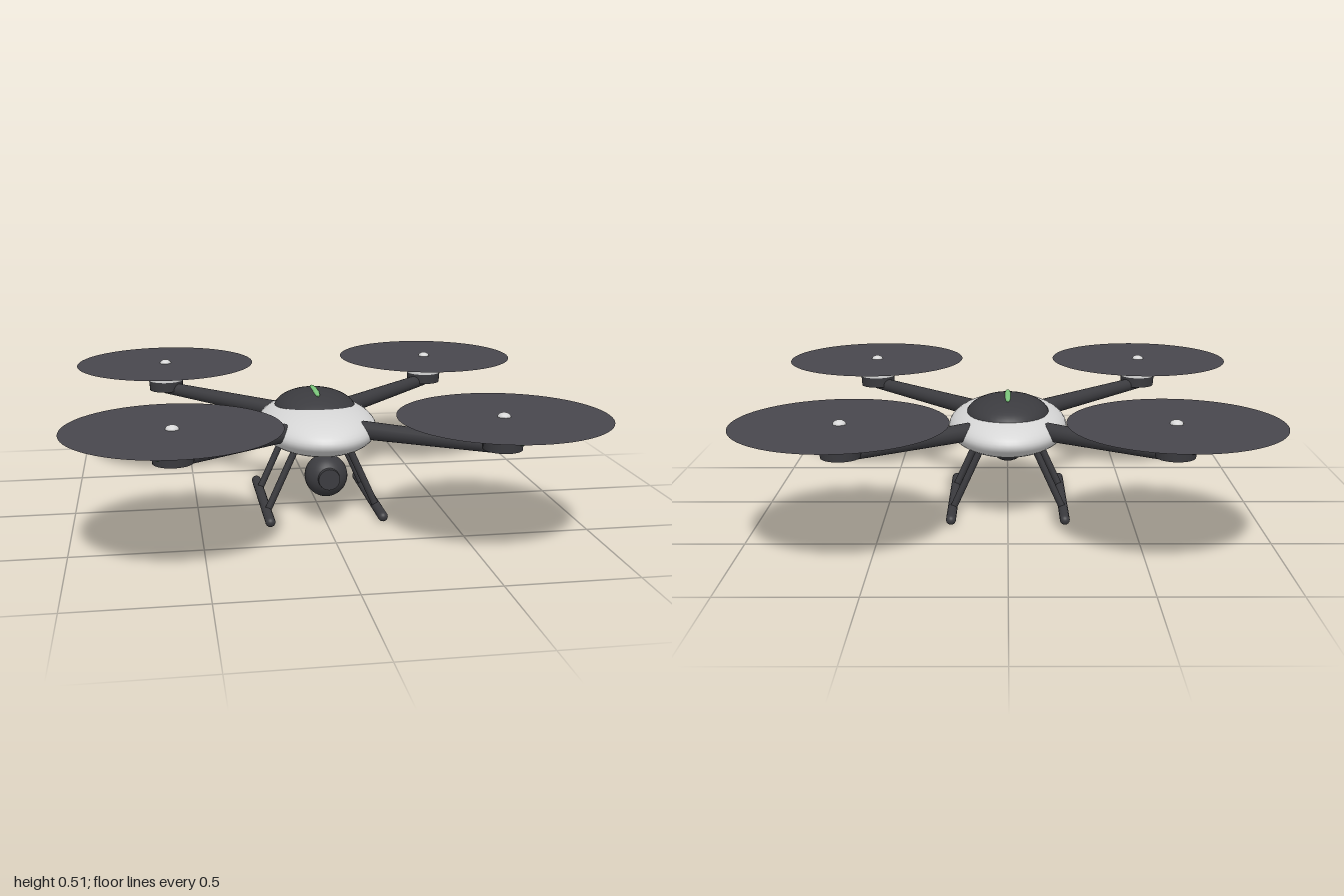
import * as THREE from 'three';

const material = (name, color, side = THREE.FrontSide) => {
  const m = new THREE.MeshStandardMaterial({ color, side });
  m.name = name;
  return m;
};

export function createModel() {
  const shell = material('light shell', 0xd6d6d6);
  const dark = material('dark plastic', 0x3b3b3f);
  const blur = material('rotor grey', 0x48474d, THREE.DoubleSide);
  const green = material('green light', 0x7cc87c);

  const model = new THREE.Group();
  model.name = 'quadcopter';

  const add = (name, geometry, mat, x, y, z, parent = model) => {
    const mesh = new THREE.Mesh(geometry, mat);
    mesh.name = name;
    mesh.position.set(x, y, z);
    parent.add(mesh);
    return mesh;
  };
  const ellipsoid = (rx, ry, rz, w = 32, h = 20) =>
    new THREE.SphereGeometry(1, w, h).scale(rx, ry, rz);

  // Tapered round bar between two points
  const bar = (name, a, b, ra, rb) => {
    const from = new THREE.Vector3(...a), to = new THREE.Vector3(...b);
    const dir = to.clone().sub(from);
    const mid = from.clone().add(to).multiplyScalar(0.5);
    const mesh = add(name, new THREE.CylinderGeometry(rb, ra, dir.length(), 20), dark, mid.x, mid.y, mid.z);
    mesh.quaternion.setFromUnitVectors(new THREE.Vector3(0, 1, 0), dir.normalize());
  };

  // Fuselage
  add('body', ellipsoid(0.243, 0.1, 0.375, 48, 28), shell, 0, 0.345, 0);
  add('canopy', ellipsoid(0.17, 0.08, 0.22, 40, 24), dark, 0, 0.4, -0.05);
  add('canopyStripe', ellipsoid(0.014, 0.011, 0.108, 16, 16), green, 0, 0.474, -0.045);

  // Camera ball with a shallow lens barrel
  add('cameraBall', ellipsoid(0.085, 0.085, 0.085), dark, 0, 0.198, 0.252);
  add('cameraLens', new THREE.CylinderGeometry(0.042, 0.045, 0.04, 24).rotateX(Math.PI / 2), dark, 0, 0.203, 0.32);

  // Arms, motors and rotors at the four corners
  const r = 0.605;
  for (const sx of [-1, 1]) {
    for (const sz of [-1, 1]) {
      bar('arm', [sx * 0.155, 0.364, sz * 0.205], [sx * r, 0.386, sz * r], 0.037, 0.027);

      const unit = new THREE.Group();
      unit.name = 'rotorUnit';
      unit.position.set(sx * r, 0, sz * r);
      model.add(unit);
      add('motorBase', new THREE.CylinderGeometry(0.077, 0.074, 0.044, 28), dark, 0, 0.4, 0, unit);
      add('motorBand', new THREE.CylinderGeometry(0.077, 0.077, 0.028, 28), shell, 0, 0.436, 0, unit);
      add('motorCap', new THREE.CylinderGeometry(0.062, 0.073, 0.018, 28), dark, 0, 0.459, 0, unit);
      add('rotorDisc', new THREE.CircleGeometry(0.395, 64).rotateX(-Math.PI / 2), blur, 0, 0.5, 0, unit);
      add('rotorHub', ellipsoid(0.025, 0.016, 0.025, 16, 12), shell, 0, 0.5, 0, unit);
      // Green lamps in front, dark ones behind
      add('navigationLight', ellipsoid(0.021, 0.021, 0.021, 16, 12), sz > 0 ? green : dark,
        sx * 0.055, 0.422, sz * 0.055, unit);
    }
  }

  // Landing gear: two splayed legs and a rounded skid on each side
  for (const sx of [-1, 1]) {
    for (const z of [-0.15, 0.153])
      bar('leg', [sx * 0.1, 0.3, z], [sx * 0.226, 0.022, z], 0.014, 0.014);
    add('skid', new THREE.CapsuleGeometry(0.02, 0.565, 8, 16).rotateX(Math.PI / 2), dark, sx * 0.227, 0.022, 0);
  }

  return model;
}
